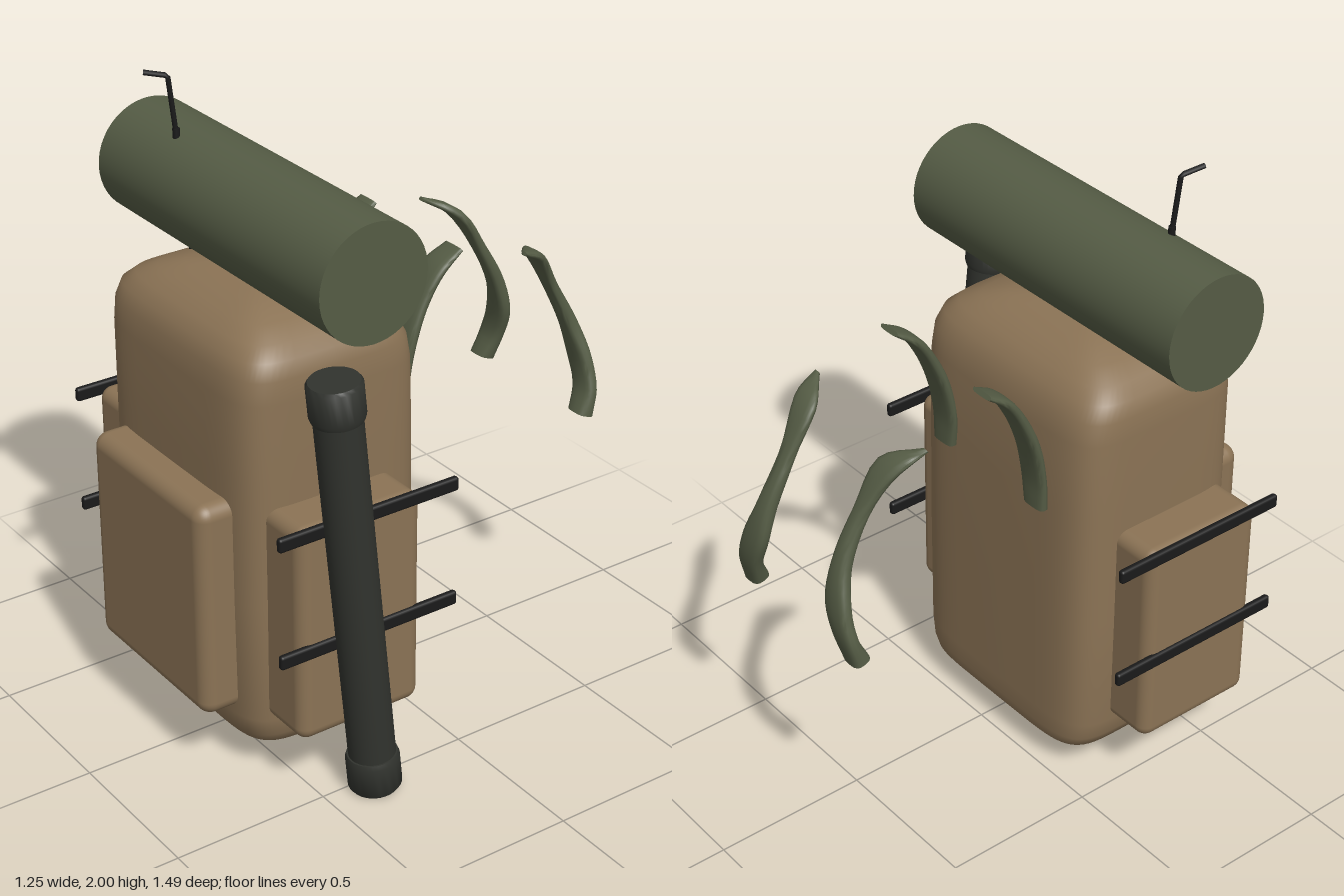
import * as THREE from 'three';
import { RoundedBoxGeometry } from 'three/addons/geometries/RoundedBoxGeometry.js';
import { toCreasedNormals } from 'three/addons/utils/BufferGeometryUtils.js';

const mat = (color) => new THREE.MeshStandardMaterial({ color, roughness: 0.9 });
const canvas = mat(0x8b7355);
const green = mat(0x555c45);
const dark = mat(0x31332e);
const black = mat(0x1a1a1a);
const CX = -0.05; // the pack's own mirror plane

function add(parent, name, geometry, material, x = 0, y = 0, z = 0) {
  const mesh = new THREE.Mesh(geometry, material);
  mesh.name = name;
  mesh.position.set(x, y, z);
  parent.add(mesh);
  return mesh;
}

// Skin over superellipse sections { c, dir, a, b }: a is half size along x, b across it
function loft(sections, n, sides, crease) {
  const pos = [], idx = [];
  const U = new THREE.Vector3(1, 0, 0);
  const power = (v) => Math.sign(v) * Math.abs(v) ** (2 / n);
  for (const { c, dir, a, b } of sections) {
    const N = dir.clone().cross(U).normalize();
    for (let j = 0; j < sides; j++) {
      const t = (j / sides) * Math.PI * 2;
      const p = c.clone().addScaledVector(U, a * power(Math.cos(t))).addScaledVector(N, b * power(Math.sin(t)));
      pos.push(p.x, p.y, p.z);
    }
  }
  const last = sections.length - 1;
  for (let i = 0; i < last; i++) {
    for (let j = 0; j < sides; j++) {
      const k = (j + 1) % sides, A = i * sides, B = A + sides;
      idx.push(A + j, A + k, B + k, A + j, B + k, B + j);
    }
  }
  // End caps
  const s = pos.length / 3;
  pos.push(...sections[0].c.toArray(), ...sections[last].c.toArray());
  for (let j = 0; j < sides; j++) {
    const k = (j + 1) % sides;
    idx.push(s, k, j, s + 1, last * sides + j, last * sides + k);
  }
  const g = new THREE.BufferGeometry();
  g.setAttribute('position', new THREE.Float32BufferAttribute(pos, 3));
  g.setIndex(idx);
  return toCreasedNormals(g, crease);
}

// Curved padded strap; rows are [distance from mirror plane, y, z, width, thickness]
function strap(rows, side) {
  const path = new THREE.CatmullRomCurve3(rows.map((r) => new THREE.Vector3(CX + side * r[0], r[1], r[2])));
  const size = new THREE.CatmullRomCurve3(rows.map((r) => new THREE.Vector3(r[3], r[4], 0)));
  const sections = [];
  for (let i = 0; i <= 24; i++) {
    const t = i / 24, s = size.getPoint(t);
    const dir = path.getTangent(t).setX(0).normalize();
    sections.push({ c: path.getPoint(t), dir, a: s.x / 2, b: s.y / 2 });
  }
  return loft(sections, 3, 16, 1);
}

export function createModel() {
  const group = new THREE.Group();

  // Main bag: rows are [y, half width, back z, front z]
  const up = new THREE.Vector3(0, 1, 0);
  const rows = [
    [0.10, 0.35, 0.03, 0.58], [0.115, 0.375, 0.018, 0.605], [0.15, 0.392, 0.012, 0.628], [0.21, 0.403, 0.012, 0.64],
    [0.6, 0.405, 0.012, 0.643], [1.0, 0.405, 0.015, 0.643], [1.25, 0.405, 0.022, 0.642], [1.32, 0.403, 0.035, 0.635],
    [1.37, 0.388, 0.06, 0.618], [1.405, 0.35, 0.095, 0.585], [1.435, 0.285, 0.14, 0.54], [1.46, 0.205, 0.2, 0.48],
    [1.475, 0.11, 0.27, 0.41], [1.48, 0.03, 0.32, 0.36],
  ];
  add(group, 'mainBag', loft(rows.map(([y, a, z0, z1]) => ({
    c: new THREE.Vector3(CX, y, (z0 + z1) / 2), dir: up, a, b: (z1 - z0) / 2,
  })), 6, 64, 1.0), canvas);

  // Pockets
  add(group, 'frontPocket', new RoundedBoxGeometry(0.605, 0.7, 0.2, 5, 0.045), canvas, CX, 0.58, 0.643);
  for (const s of [1, -1]) {
    const name = s > 0 ? 'left' : 'right';
    add(group, name + 'SidePocket', new RoundedBoxGeometry(0.25, 0.705, 0.425, 5, 0.04), canvas, CX + s * 0.43, 0.573, 0.362);

    // Bars across the side pockets
    for (const y of [0.53, 0.913]) {
      add(group, name + 'SideBar', new RoundedBoxGeometry(0.022, 0.045, 0.62, 2, 0.009), black, CX + s * 0.555, y, 0.337);
    }

    // Shoulder strap in an upper and a lower length
    add(group, name + 'UpperStrap', strap([
      [0.215, 1.0, -0.008, 0.09, 0.035], [0.21, 1.1, -0.012, 0.105, 0.03], [0.21, 1.22, -0.035, 0.105, 0.035],
      [0.21, 1.33, -0.08, 0.095, 0.035], [0.21, 1.42, -0.14, 0.1, 0.03], [0.215, 1.47, -0.21, 0.08, 0.016],
    ], s), green);
    add(group, name + 'LowerStrap', strap([
      [0.255, 1.4, -0.44, 0.02, 0.012], [0.2, 1.355, -0.525, 0.095, 0.03], [0.178, 1.22, -0.612, 0.055, 0.035],
      [0.182, 1.08, -0.685, 0.065, 0.045], [0.205, 0.96, -0.718, 0.1, 0.045], [0.235, 0.87, -0.718, 0.095, 0.045],
      [0.25, 0.79, -0.692, 0.08, 0.06],
    ], s), green);
  }

  // Bedroll lying across the top
  const roll = add(group, 'bedroll', new THREE.CylinderGeometry(0.179, 0.179, 1.15, 48), green, CX, 1.63, 0.337);
  roll.rotation.z = Math.PI / 2;

  // Leaning tube with a cap on each end
  const tube = new THREE.Group();
  tube.name = 'carryTube';
  tube.position.set(0.54, 0.702, 0.41);
  tube.rotation.x = Math.atan2(0.14, 1.38);
  group.add(tube);
  add(tube, 'tubeBody', new THREE.CylinderGeometry(0.071, 0.071, 1.3, 32), dark);
  const capProfile = [[0, -0.06], [0.074, -0.06], [0.081, -0.05], [0.081, 0.045], [0.076, 0.06], [0, 0.06]];
  for (const s of [1, -1]) {
    const cap = toCreasedNormals(new THREE.LatheGeometry(capProfile.map(([x, y]) => new THREE.Vector2(x, y)), 32), 0.9);
    add(tube, 'tubeCap', cap, dark, 0, s * 0.632, 0).rotation.x = s > 0 ? Math.PI : 0;
    if (s > 0) tube.children.at(-1).scale.z = 1;
  }

  // Thin bent aerial rising through the bedroll
  const bend = new THREE.CurvePath();
  const knots = [[-0.325, 1.42, 0.385], [-0.342, 1.8, 0.415], [-0.35, 1.978, 0.432], [-0.373, 1.995, 0.5]]
    .map((p) => new THREE.Vector3(...p));
  for (let i = 0; i < 3; i++) bend.add(new THREE.LineCurve3(knots[i], knots[i + 1]));
  add(group, 'aerial', new THREE.TubeGeometry(bend, 48, 0.008, 8), black);
  add(group, 'aerialCollar', new THREE.CylinderGeometry(0.011, 0.011, 0.03, 12), black, -0.342, 1.802, 0.415);

  return group;
}
